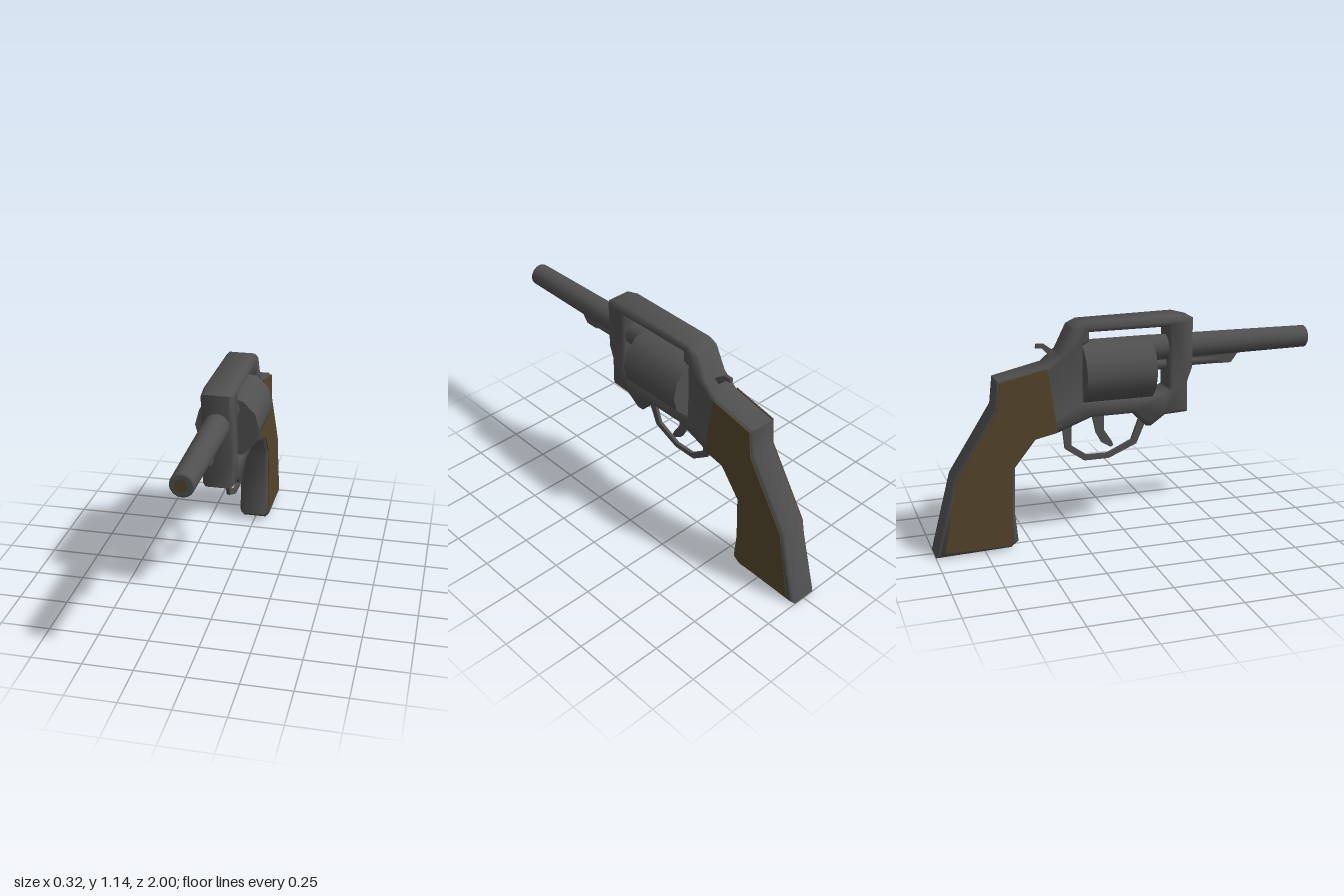
import * as THREE from 'three';
import { toCreasedNormals } from 'three/addons/utils/BufferGeometryUtils.js';

const CX = -0.002; // sideways centre of the body

const steel = new THREE.MeshStandardMaterial({ color: 0x505050 });
steel.name = 'dark steel';
const wood = new THREE.MeshStandardMaterial({ color: 0x54452a });
wood.name = 'brown wood';

const toPoints = (list) => list.map(([z, y]) => new THREE.Vector2(z, y));

// Side profile given as [z, y] points, extruded across x and centred on cx
function profile(points, width, { hole, bevel = 0, cx = CX, crease = 0.6 } = {}) {
  const shape = new THREE.Shape(toPoints(points));
  if (hole) shape.holes.push(new THREE.Path(toPoints(hole)));
  const depth = width - 2 * bevel;
  const geo = new THREE.ExtrudeGeometry(shape, {
    depth, bevelEnabled: bevel > 0, bevelThickness: bevel,
    bevelSize: bevel, bevelOffset: -bevel, bevelSegments: 1,
  });
  geo.translate(0, 0, -depth / 2).rotateY(-Math.PI / 2).translate(cx, 0, 0);
  return toCreasedNormals(geo, crease);
}

// Round part along z, from zBack to zFront
function rod(rFront, rBack, zBack, zFront, y, sides, x = CX) {
  const geo = new THREE.CylinderGeometry(rFront, rBack, zFront - zBack, sides);
  return geo.rotateX(Math.PI / 2).translate(x, y, (zFront + zBack) / 2);
}

export function createModel() {
  const group = new THREE.Group();
  group.name = 'revolver';
  const add = (name, geo, mat = steel) => {
    const mesh = new THREE.Mesh(geo, mat);
    mesh.name = name;
    group.add(mesh);
  };

  // Frame and grip core in one piece, with the cylinder window cut out
  add('frame', profile([
    [0.345, 1.125], [0.27, 1.145], [-0.235, 1.138], [-0.285, 1.115], [-0.345, 0.995],
    [-0.42, 0.932], [-0.665, 0.877], [-0.68, 0.74], [-0.895, 0.4], [-1.0, 0.0],
    [-0.62, 0.01], [-0.58, 0.04], [-0.595, 0.2], [-0.587, 0.43], [-0.48, 0.565],
    [-0.37, 0.588], [-0.19, 0.655], [0.03, 0.655], [0.1, 0.58], [0.125, 0.58],
    [0.2, 0.632], [0.32, 0.638], [0.32, 0.8], [0.345, 0.87],
  ], 0.157, {
    bevel: 0.016, crease: 0.9,
    hole: [[0.22, 1.088], [0.22, 0.765], [0.19, 0.75], [0.13, 0.738], [-0.232, 0.738],
      [-0.232, 1.025], [-0.2, 1.04], [-0.2, 1.088]],
  }));

  // Wooden grip panels
  const panel = [
    [-0.418, 0.924], [-0.655, 0.872], [-0.668, 0.735], [-0.884, 0.392], [-0.955, 0.025],
    [-0.64, 0.026], [-0.606, 0.05], [-0.609, 0.2], [-0.602, 0.432], [-0.49, 0.574],
    [-0.37, 0.598],
  ];
  for (const [side, name] of [[1, 'leftGripPanel'], [-1, 'rightGripPanel']]) {
    add(name, profile(panel, 0.006, { cx: CX + side * 0.078 }), wood);
  }

  // Cylinder
  add('cylinder', rod(0.161, 0.161, -0.235, 0.127, 0.877, 12, 0).rotateZ(0));

  // Barrel, muzzle and bore
  add('barrel', rod(0.057, 0.066, 0.125, 0.994, 0.971, 16));
  add('muzzle', rod(0.05, 0.057, 0.994, 1.0, 0.971, 16));
  add('bore', new THREE.CircleGeometry(0.03, 16).translate(-0.006, 0.971, 1.0005), wood);

  // Ejector rod and the lug that holds it under the barrel
  add('ejectorRod', rod(0.024, 0.024, 0.2, 0.52, 0.886, 10));
  add('ejectorTip', rod(0.029, 0.029, 0.17, 0.225, 0.882, 10));
  add('ejectorLug', profile([
    [0.62, 0.925], [0.575, 0.866], [0.5, 0.866], [0.5, 0.9], [0.345, 0.905], [0.345, 0.93],
  ], 0.045));

  // Hammer
  add('hammer', profile([
    [-0.33, 0.96], [-0.352, 0.985], [-0.415, 1.032], [-0.452, 1.034], [-0.456, 1.012],
    [-0.425, 1.01], [-0.38, 0.965], [-0.37, 0.94],
  ], 0.018));

  // Trigger and its guard
  add('trigger', profile([
    [-0.11, 0.67], [-0.11, 0.565], [-0.068, 0.5], [-0.06, 0.478], [-0.076, 0.47],
    [-0.122, 0.498], [-0.15, 0.55], [-0.178, 0.67],
  ], 0.016, { cx: -0.007 }));
  add('triggerGuard', profile([
    [0.118, 0.6], [0.064, 0.475], [-0.085, 0.411], [-0.215, 0.411], [-0.315, 0.482],
    [-0.33, 0.62], [-0.278, 0.64], [-0.283, 0.497], [-0.2, 0.438], [-0.09, 0.438],
    [0.037, 0.497], [0.075, 0.6],
  ], 0.017, { cx: -0.007 }));

  return group;
}
